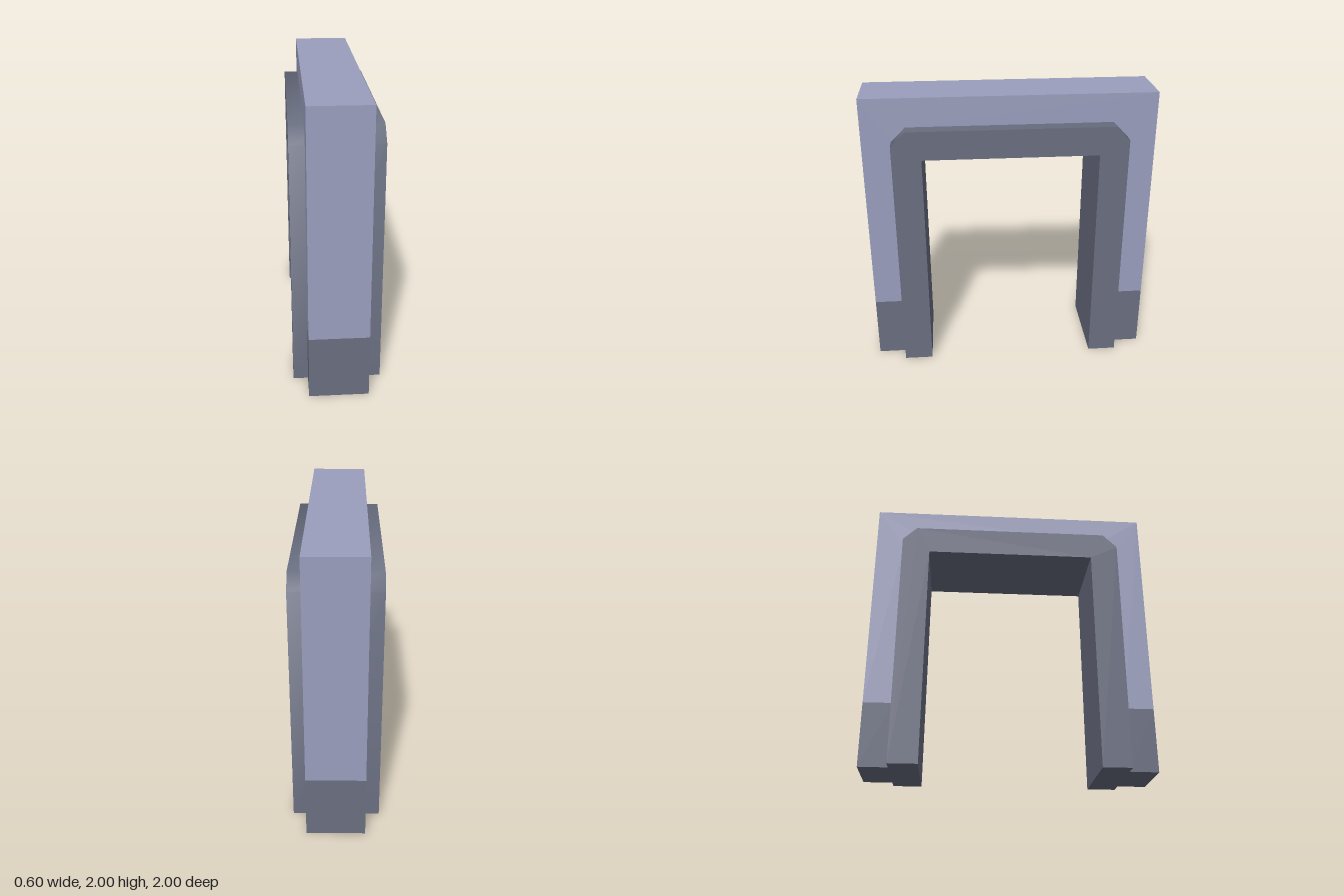
import * as THREE from 'three';
import { toCreasedNormals } from 'three/addons/utils/BufferGeometryUtils.js';

const lightWall = new THREE.MeshStandardMaterial({ name: 'lightWall', color: 0x9a9ebd });
const darkStone = new THREE.MeshStandardMaterial({ name: 'darkStone', color: 0x696e80 });

// Extrude a mirrored profile across the wall thickness; half = [z, y] points on one side
function archPart(name, half, width, material) {
  const mirrored = half.map(([z, y]) => [-z, y]).reverse();
  const outline = [...half, ...mirrored].map(([z, y]) => new THREE.Vector2(z, y));
  const geometry = new THREE.ExtrudeGeometry(new THREE.Shape(outline), { depth: width, bevelEnabled: false });
  geometry.translate(0, 0, -width / 2).rotateY(Math.PI / 2);
  // 45 degree chamfers shade smoothly, square corners stay sharp
  const mesh = new THREE.Mesh(toCreasedNormals(geometry, THREE.MathUtils.degToRad(50)), material);
  mesh.name = name;
  return mesh;
}

export function createModel() {
  const group = new THREE.Group();
  group.name = 'doorway';
  const plinthTop = 0.447;

  // Upper wall, cut out to fit around the door frame
  const wall = [[0.7, 1.8], [0.8, 1.7], [0.8, plinthTop], [1, plinthTop], [1, 2]];
  group.add(archPart('wall', wall, 0.4, lightWall));

  // Door frame with chamfered outer corners, standing proud of both wall faces
  const frame = [[0.6, 1.6], [0.6, 0], [0.8, 0], [0.8, 1.7], [0.7, 1.8]];
  group.add(archPart('doorFrame', frame, 0.6, darkStone));

  // Dark plinths at the foot of the wall
  for (const side of [1, -1]) {
    const plinth = new THREE.Mesh(new THREE.BoxGeometry(0.4, plinthTop, 0.2), darkStone);
    plinth.position.set(0, plinthTop / 2, side * 0.9);
    plinth.name = side > 0 ? 'frontPlinth' : 'backPlinth';
    group.add(plinth);
  }
  return group;
}
